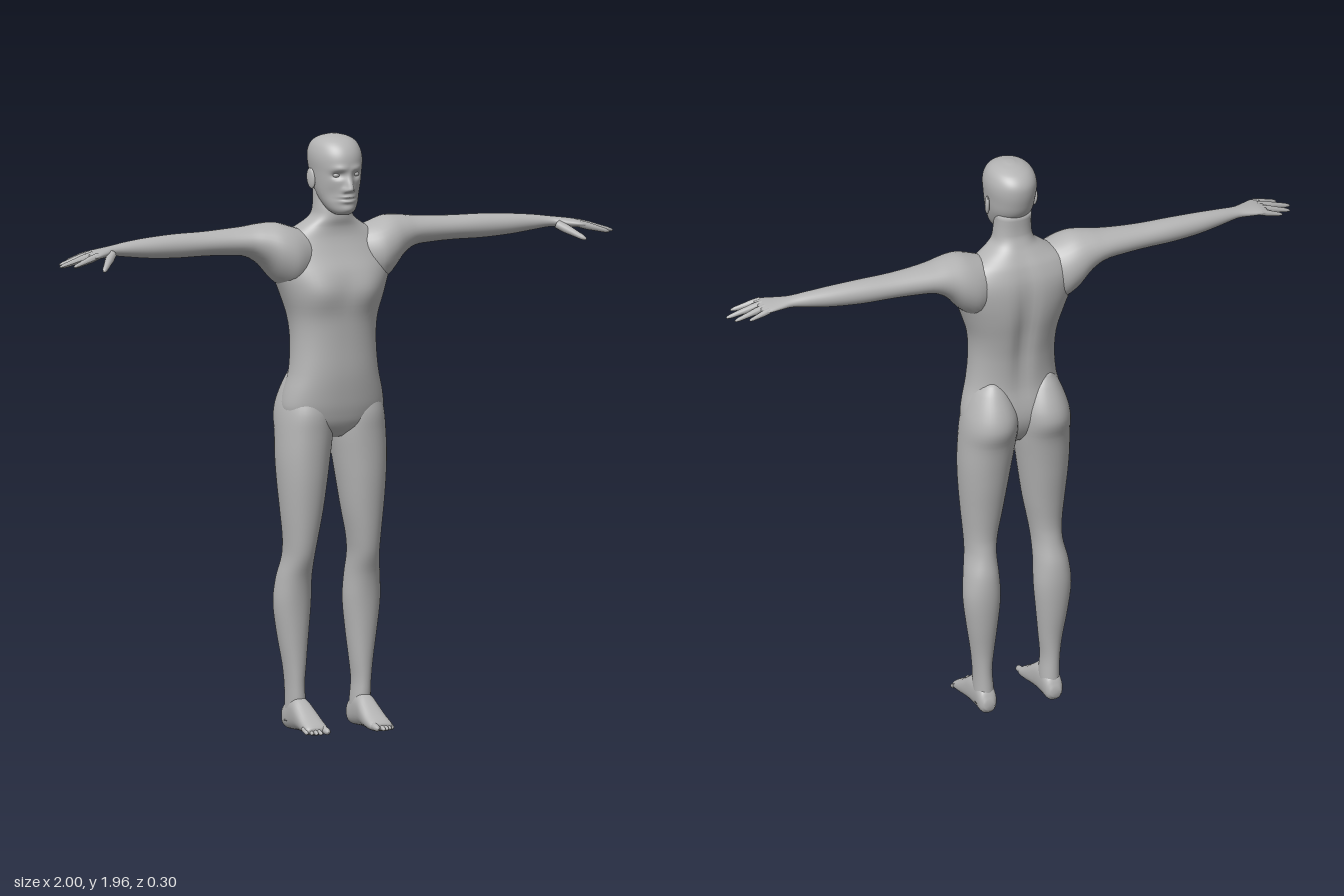
import * as THREE from 'three';

const skin = new THREE.MeshStandardMaterial({ color: 0xb4b4b4 });
skin.name = 'plain grey';

// Hermite blend of ring column k between rings i and i+1
function blend(rings, i, f, k) {
  const at = (n) => rings[Math.max(0, Math.min(rings.length - 1, n))];
  const slope = (n) => (at(n + 1)[k] - at(n - 1)[k]) / (at(n + 1)[0] - at(n - 1)[0]);
  const a = at(i), b = at(i + 1), h = b[0] - a[0], f2 = f * f, f3 = f2 * f;
  return (2 * f3 - 3 * f2 + 1) * a[k] + (f3 - 2 * f2 + f) * h * slope(i)
    + (3 * f2 - 2 * f3) * b[k] + (f3 - f2) * h * slope(i + 1);
}

// Smooth skin over rings [t, uMin, uMax, vMin, vMax], t ascending along an axis (0 x, 1 y, 2 z)
function loft(rings, axis, { sides = 32, steps = 4, power = 2, deform } = {}) {
  const pos = [], index = [];
  const put = (t, u, v) => {
    const p = new THREE.Vector3();
    p.setComponent(axis, t);
    p.setComponent((axis + 1) % 3, v);
    p.setComponent((axis + 2) % 3, u);
    if (deform) deform(p);
    pos.push(p.x, p.y, p.z);
  };
  const round = (c) => Math.sign(c) * Math.abs(c) ** (2 / power);
  const rows = (rings.length - 1) * steps + 1;
  for (let r = 0; r < rows; r++) {
    const i = Math.min(Math.floor(r / steps), rings.length - 2), f = r / steps - i;
    const [u0, u1, v0, v1] = [1, 2, 3, 4].map((k) => blend(rings, i, f, k));
    const t = rings[i][0] + (rings[i + 1][0] - rings[i][0]) * f;
    for (let s = 0; s < sides; s++) {
      const a = (s / sides) * Math.PI * 2;
      put(t, (u0 + u1) / 2 + round(Math.cos(a)) * (u1 - u0) / 2,
        (v0 + v1) / 2 + round(Math.sin(a)) * (v1 - v0) / 2);
    }
  }
  for (let r = 0; r < rows - 1; r++) {
    for (let s = 0; s < sides; s++) {
      const a = r * sides + s, b = r * sides + (s + 1) % sides;
      index.push(a, a + sides, b, b, a + sides, b + sides);
    }
  }
  // end caps
  const first = rings[0], last = rings[rings.length - 1], c = rows * sides, top = (rows - 1) * sides;
  for (const g of [first, last]) put(g[0], (g[1] + g[2]) / 2, (g[3] + g[4]) / 2);
  for (let s = 0; s < sides; s++) {
    const n = (s + 1) % sides;
    index.push(c, s, n, c + 1, top + n, top + s);
  }
  const geo = new THREE.BufferGeometry();
  geo.setAttribute('position', new THREE.Float32BufferAttribute(pos, 3));
  geo.setIndex(index);
  geo.computeVertexNormals();
  return geo;
}

// Tapered finger or toe from a to b with a rounded tip
function digit(a, b, r0, r1) {
  const from = new THREE.Vector3(...a), to = new THREE.Vector3(...b);
  const dir = to.clone().sub(from), len = dir.length();
  const profile = [[r0, 0], [r0, len * 0.3], [(r0 + r1) / 2, len * 0.55], [r1, len * 0.85], [r1 * 0.6, len * 0.96], [0, len]];
  const geo = new THREE.LatheGeometry(profile.map(([x, y]) => new THREE.Vector2(x, y)), 10);
  geo.applyQuaternion(new THREE.Quaternion().setFromUnitVectors(new THREE.Vector3(0, 1, 0), dir.normalize()));
  return geo.translate(...a);
}

function mirrored(geo) {
  const g = geo.clone().scale(-1, 1, 1), ix = g.index.array;
  for (let i = 0; i < ix.length; i += 3) [ix[i], ix[i + 1]] = [ix[i + 1], ix[i]];
  g.computeVertexNormals();
  return g;
}

const bump = (d, r) => Math.exp(-((d / r) ** 2));
const symmetric = (rows) => rows.map(([y, w, back, front]) => [y, -w, w, back, front]);

export function createModel() {
  const body = new THREE.Group();
  body.name = 'standing figure';
  const add = (name, geo) => {
    const m = new THREE.Mesh(geo, skin);
    m.name = name;
    body.add(m);
  };
  const pair = (name, geo) => {
    add('left ' + name, geo);
    add('right ' + name, mirrored(geo));
  };

  // Torso and neck: chest muscles in front, spine groove behind
  add('torso', loft(symmetric([
    [0.965, 0.05, -0.06, 0.03], [1.0, 0.14, -0.09, 0.068], [1.05, 0.175, -0.11, 0.085],
    [1.1, 0.173, -0.112, 0.093], [1.18, 0.153, -0.102, 0.1], [1.28, 0.145, -0.108, 0.1],
    [1.36, 0.152, -0.122, 0.102], [1.44, 0.178, -0.137, 0.108], [1.51, 0.203, -0.142, 0.095],
    [1.57, 0.21, -0.137, 0.066], [1.62, 0.175, -0.12, 0.046], [1.655, 0.115, -0.1, 0.042],
    [1.685, 0.073, -0.083, 0.048], [1.72, 0.063, -0.07, 0.045], [1.79, 0.06, -0.07, 0.03],
  ]), 1, {
    sides: 64, steps: 4, power: 2.25,
    deform: (p) => {
      if (p.z > 0) p.z += 0.012 * bump(Math.abs(p.x) - 0.085, 0.06) * bump(p.y - 1.45, 0.06);
      else p.z += 0.018 * bump(p.x, 0.03) * bump(p.y - 1.38, 0.2);
    },
  }));

  // Head: eye sockets, brow, nose, lips and chin
  add('head', loft(symmetric([
    [1.7, 0.022, 0.03, 0.095], [1.712, 0.04, 0.01, 0.108], [1.735, 0.055, -0.02, 0.113],
    [1.765, 0.066, -0.05, 0.115], [1.8, 0.074, -0.08, 0.117], [1.84, 0.079, -0.095, 0.12],
    [1.88, 0.083, -0.102, 0.12], [1.91, 0.079, -0.098, 0.11], [1.935, 0.066, -0.077, 0.088],
    [1.95, 0.043, -0.045, 0.058], [1.958, 0.012, -0.01, 0.02],
  ]), 1, {
    sides: 96, steps: 7, power: 2.1,
    deform: (p) => {
      if (p.z < 0.05) return;
      const ax = Math.abs(p.x), { y } = p;
      p.z += -0.016 * bump(ax - 0.034, 0.017) * bump(y - 1.833, 0.011)
        + 0.006 * bump(ax - 0.03, 0.025) * bump(y - 1.855, 0.01)
        + 0.028 * bump(p.x, 0.012) * bump(y - 1.788, y > 1.788 ? 0.032 : 0.009)
        + 0.01 * bump(ax - 0.014, 0.009) * bump(y - 1.785, 0.009)
        + 0.01 * bump(p.x, 0.024) * (bump(y - 1.762, 0.006) + bump(y - 1.748, 0.006))
        - 0.006 * bump(p.x, 0.026) * bump(y - 1.755, 0.004)
        + 0.006 * bump(p.x, 0.025) * bump(y - 1.72, 0.014)
        - 0.006 * bump(ax - 0.05, 0.018) * bump(y - 1.77, 0.025);
    },
  }));
  const eye = new THREE.SphereGeometry(0.011, 16, 10).scale(1.2, 0.7, 0.8);
  pair('eye', eye.translate(0.034, 1.833, 0.094));
  const ear = new THREE.SphereGeometry(1, 16, 12).scale(0.008, 0.034, 0.019);
  pair('ear', ear.rotateX(-0.15).rotateY(-0.3).translate(0.082, 1.815, 0.002));

  // Arm from inside the chest to the palm
  pair('arm', loft([
    [0.09, -0.1, 0.05, 1.46, 1.64], [0.15, -0.125, 0.075, 1.45, 1.66], [0.2, -0.127, 0.068, 1.48, 1.674],
    [0.25, -0.117, 0.045, 1.535, 1.672], [0.3, -0.109, 0.026, 1.565, 1.665], [0.37, -0.1, 0.012, 1.573, 1.66],
    [0.45, -0.092, 0.005, 1.576, 1.656], [0.55, -0.084, 0.002, 1.576, 1.655], [0.65, -0.072, 0.002, 1.582, 1.65],
    [0.73, -0.057, 0.002, 1.592, 1.643], [0.79, -0.045, 0.008, 1.6, 1.635], [0.83, -0.047, 0.03, 1.598, 1.63],
    [0.87, -0.05, 0.052, 1.597, 1.624], [0.895, -0.045, 0.054, 1.599, 1.616],
  ], 0, { sides: 32 }));
  const fingers = [ // name, knuckle, tip, radius
    ['little finger', [0.87, -0.038, 1.61], [0.945, -0.044, 1.59], 0.01],
    ['ring finger', [0.875, -0.013, 1.612], [0.985, -0.014, 1.582], 0.0115],
    ['middle finger', [0.875, 0.013, 1.612], [1.0, 0.022, 1.58], 0.0125],
    ['index finger', [0.87, 0.038, 1.611], [0.968, 0.062, 1.583], 0.012],
    ['thumb', [0.805, 0.01, 1.61], [0.872, 0.09, 1.566], 0.015],
  ];
  for (const [name, [x0, z0, y0], [x1, z1, y1], r] of fingers) {
    pair(name, digit([x0, y0, z0], [x1, y1, z1], r, r * 0.6));
  }

  // Leg, with the buttock as its top
  pair('leg', loft([
    [0.03, 0.087, 0.148, -0.093, -0.02], [0.08, 0.085, 0.148, -0.09, 0], [0.15, 0.09, 0.15, -0.088, 0.002],
    [0.22, 0.083, 0.158, -0.092, 0.003], [0.32, 0.072, 0.175, -0.105, 0.005], [0.42, 0.063, 0.187, -0.112, 0.01],
    [0.5, 0.066, 0.18, -0.107, 0.022], [0.57, 0.068, 0.167, -0.09, 0.045], [0.63, 0.06, 0.168, -0.083, 0.056],
    [0.72, 0.042, 0.177, -0.092, 0.066], [0.82, 0.026, 0.186, -0.107, 0.074], [0.9, 0.014, 0.19, -0.118, 0.077],
    [0.98, 0.003, 0.188, -0.131, 0.079], [1.04, 0.002, 0.184, -0.15, 0.08], [1.09, 0.005, 0.174, -0.143, 0.07],
    [1.16, 0.03, 0.148, -0.11, 0.05], [1.2, 0.06, 0.12, -0.085, 0.02],
  ], 1, { sides: 40, power: 2.1 }));

  // Foot and toes
  pair('foot', loft([
    [-0.102, 0.02, 0.05, 0.1, 0.135], [-0.085, 0.003, 0.085, 0.087, 0.147], [-0.04, 0.002, 0.11, 0.084, 0.149],
    [0, 0.004, 0.108, 0.081, 0.152], [0.04, 0.004, 0.082, 0.076, 0.155], [0.08, 0.001, 0.055, 0.074, 0.157],
    [0.115, 0.001, 0.036, 0.076, 0.156], [0.128, 0.005, 0.025, 0.082, 0.15],
  ], 2, { sides: 28, power: 2.4 }));
  for (let i = 0; i < 5; i++) {
    const r = i ? 0.0085 : 0.013, x = i ? 0.1 + i * 0.0135 : 0.09;
    pair('toe ' + (i + 1), digit([x, 0.022, 0.095], [x, r, 0.152 - 0.0016 * i * i], r, r * 0.8));
  }
  return body;
}
